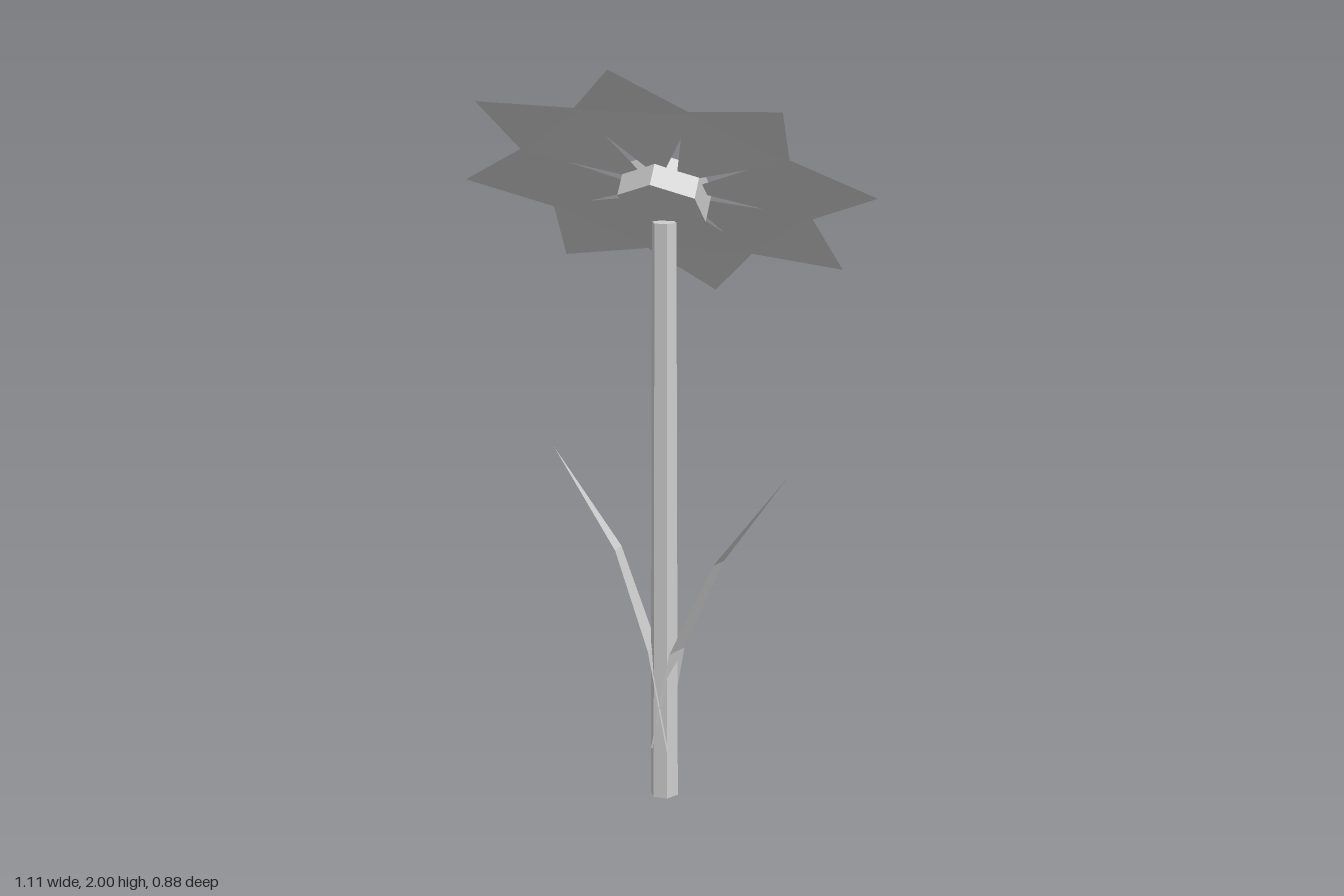
import * as THREE from 'three';

const grey = new THREE.MeshStandardMaterial({ color: 0xcccccc, flatShading: true });
grey.name = 'light grey';
const greySheet = new THREE.MeshStandardMaterial({ color: 0xcccccc, flatShading: true, side: THREE.DoubleSide });
greySheet.name = 'light grey sheet';

function mesh(name, geometry, material) {
  const m = new THREE.Mesh(geometry, material);
  m.name = name;
  return m;
}

// Thin blade: cross-sections [along, height, half width], spread along local z
function blade(sections) {
  const pos = [], idx = [];
  sections.forEach(([x, y, w], i) => {
    pos.push(x, y, w, x, y, -w);
    const a = i * 2;
    if (i < sections.length - 1) idx.push(a, a + 1, a + 2, a + 1, a + 3, a + 2);
  });
  const g = new THREE.BufferGeometry();
  g.setAttribute('position', new THREE.Float32BufferAttribute(pos, 3));
  g.setIndex(idx);
  g.computeVertexNormals();
  return g;
}

export function createModel() {
  const model = new THREE.Group();
  model.name = 'flower';

  // Six-sided, slightly tapered stem
  const stem = mesh('stem', new THREE.CylinderGeometry(0.033, 0.039, 1.575, 6).rotateY(Math.PI / 6), grey);
  stem.position.set(-0.002, 0.7875, 0.009);
  model.add(stem);

  // Two bent leaves growing out of the stem
  const leftLeaf = mesh('leftLeaf', blade([
    [-0.018, 0.14, 0.04], [0.04, 0.42, 0.036], [0.172, 0.69, 0.025], [0.38, 0.955, 0],
  ]), greySheet);
  leftLeaf.position.z = 0.011;
  leftLeaf.rotation.y = -0.29;
  const rightLeaf = mesh('rightLeaf', blade([
    [0.02, 0.14, 0.04], [-0.035, 0.42, 0.036], [-0.13, 0.69, 0.025], [-0.31, 0.955, 0],
  ]), greySheet);
  rightLeaf.position.z = 0.014;
  model.add(leftLeaf, rightLeaf);

  // Tilted flower head
  const head = new THREE.Group();
  head.name = 'flowerHead';
  head.position.y = 1.66;
  head.rotation.x = -0.661;
  model.add(head);

  // Hexagonal centre
  const centre = mesh('flowerCentre', new THREE.CylinderGeometry(0.119, 0.119, 0.092, 6), grey);
  centre.position.y = -0.012;
  head.add(centre);

  // Eight diamond petals, creased across their widest line
  const petal = blade([[0.052, 0, 0], [0.345, 0.014, 0.155], [0.555, 0, 0]]);
  for (let i = 0; i < 8; i++) {
    const p = mesh('petal' + (i + 1), petal, greySheet);
    p.rotation.y = i * Math.PI / 4;
    head.add(p);
  }
  return model;
}
